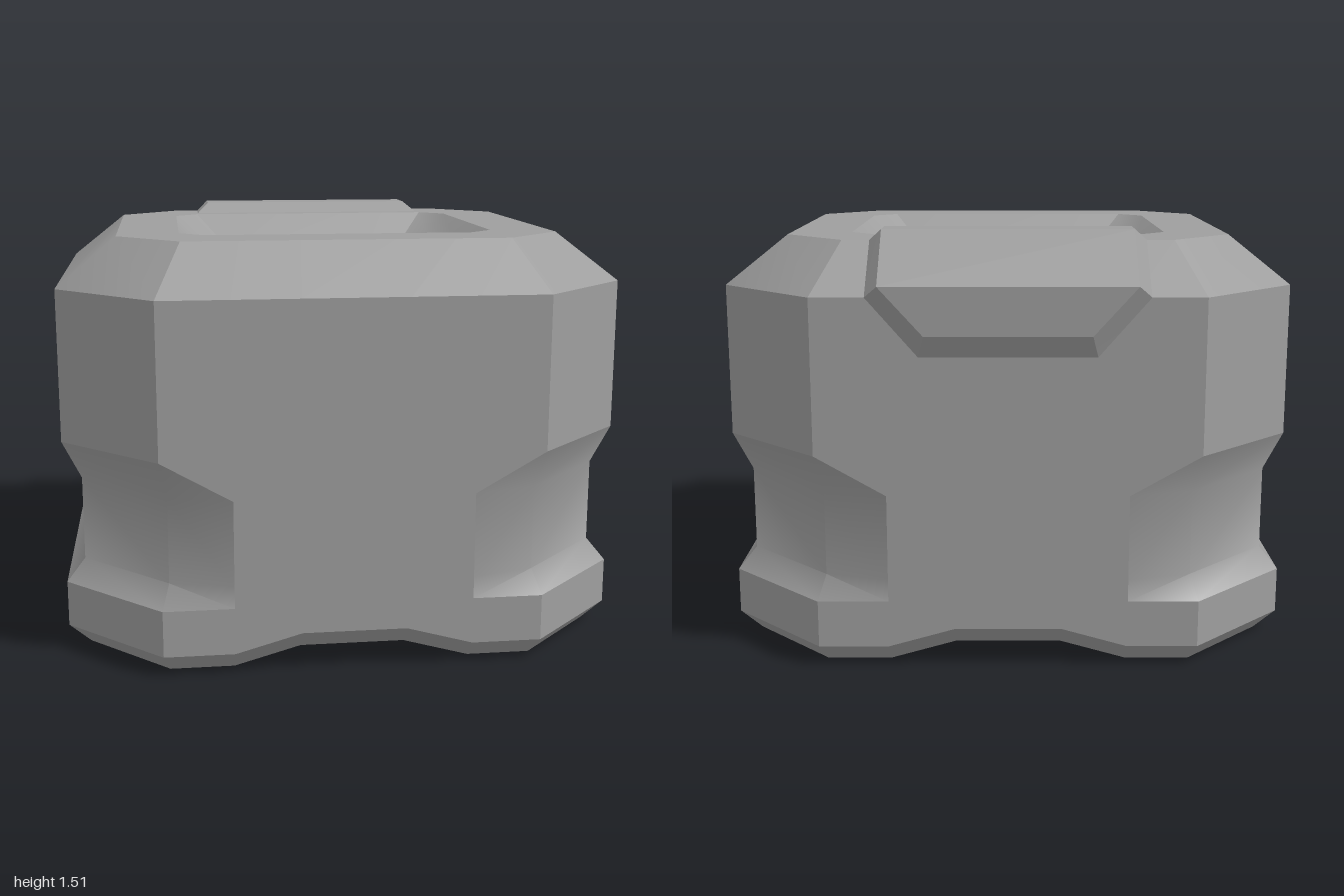
import * as THREE from 'three';
import { mergeGeometries, toCreasedNormals } from 'three/addons/utils/BufferGeometryUtils.js';

const CENTER_Z = 0.0175; // body is offset slightly from the rear clip

// Turns triangles into a geometry with sharp edges above the crease angle
function creased(tris, crease) {
  const geometry = new THREE.BufferGeometry();
  geometry.setAttribute('position', new THREE.Float32BufferAttribute(tris.flat(2), 3));
  return toCreasedNormals(geometry, crease);
}

function makeMesh(name, geometry) {
  const mesh = new THREE.Mesh(geometry, new THREE.MeshStandardMaterial({ color: 0x9e9e9e }));
  mesh.name = name;
  return mesh;
}

const quad = (a, b, c, d) => [[a, b, c], [a, c, d]];

// Chamfered rectangle with extra points along front and back.
// hx, hz: half sizes; cx, cz: where the corner chamfer starts;
// mz: half depth along the middle; arch: lift of the centre points
function ring({ y, hx, hz, cx, cz, mz = hz, arch = 0 }) {
  const x1 = Math.min(0.415, cx * 0.655);
  const quarter = [[hx, y, cz], [cx, y, hz], [x1, y, mz], [x1 * 0.44, y + arch, mz]];
  const mirror = (sx, sz) => quarter.map(([x, h, z]) => [sx * x, h, sz * z + CENTER_Z]);
  return [
    ...mirror(1, 1), ...mirror(-1, 1).reverse(),
    ...mirror(-1, -1), ...mirror(1, -1).reverse(),
  ];
}

function createBody() {
  const outer = { hx: 1, hz: 0.9275, cx: 0.66, cz: 0.592 };
  const groove = { hx: 0.935, hz: 0.868, cx: 0.635, cz: 0.566, mz: 0.9275 };
  const rings = [
    { y: 0, hx: 0.925, hz: 0.853, cx: 0.638, cz: 0.566, arch: 0.065 }, // arched underside
    { ...outer, y: 0.075, arch: 0.065 },        // bottom bevel
    { ...outer, y: 0.24 },
    { ...groove, y: 0.32 },                     // grip groove, fading out at front and back
    { ...groove, y: 0.62 },
    { ...outer, y: 0.76 },
    { ...outer, y: 1.3 },
    { y: 1.47, hx: 0.79, hz: 0.718, cx: 0.57, cz: 0.498 },  // top bevel
    { y: 1.47, hx: 0.57, hz: 0.495, cx: 0.48, cz: 0.405 },  // recess rim
    { y: 1.385, hx: 0.48, hz: 0.395, cx: 0.4, cz: 0.315 },  // recess floor
  ].map(ring);

  // Triangles are grouped so that shading is smooth only within each group
  const groups = { flat: [], grooveSide: [], grooveCorner: [], bevel: [] };
  const onFrontOrBack = (tri) => tri.every((p) => Math.abs(p[2] - CENTER_Z) > 0.92);

  function groupOf(r, segment, tri) {
    const side = segment === 7;
    const corner = segment === 0 || segment === 6;
    if (r >= 2 && r <= 4 && !onFrontOrBack(tri)) return side ? 'grooveSide' : 'grooveCorner';
    if ((r === 6 || r === 8) && (side || corner)) return 'bevel';
    return 'flat';
  }

  for (let r = 0; r < rings.length - 1; r++) {
    const a = rings[r], b = rings[r + 1];
    for (let i = 0; i < 16; i++) {
      const j = (i + 1) % 16;
      // Mirror the diagonals so left and right match
      const pair = i % 8 < 4 ? quad(b[i], b[j], a[j], a[i]) : quad(a[i], b[i], b[j], a[j]);
      // The diagonal must join the upper chamfer point to the lower middle point
      const tris = i % 8 < 4
        ? [[b[i], b[j], a[j]], [b[i], a[j], a[i]]]
        : pair;
      for (const tri of tris) groups[groupOf(r, i % 8, tri)].push(tri);
    }
  }
  // Underside and recess floor as strips from front to back
  const bottom = rings[0], floor = rings[rings.length - 1];
  for (let k = 0; k < 7; k++) {
    groups.flat.push(
      ...quad(bottom[k], bottom[k + 1], bottom[14 - k], bottom[15 - k]),
      ...quad(floor[15 - k], floor[14 - k], floor[k + 1], floor[k])
    );
  }
  return makeMesh('body', mergeGeometries([
    creased(groups.flat, 0.35),
    creased(groups.grooveSide, 0.8),
    creased(groups.grooveCorner, 0.8),
    creased(groups.bevel, 0.6),
  ]));
}

// Bevelled plate folded over the rear top edge
function createRearClip() {
  // base half width, base z, base y, outer half width, outer z, outer y
  const rows = [
    [0.475, -0.545, 1.47, 0.43, -0.605, 1.51],
    [0.475, -0.7, 1.47, 0.43, -0.74, 1.51],
    [0.475, -0.91, 1.3, 0.43, -0.945, 1.34],
    [0.3, -0.91, 1.1, 0.28, -0.945, 1.175],
  ].map(([w, z, y, ow, oz, oy]) => [[-w, y, z], [-ow, oy, oz], [ow, oy, oz], [w, y, z]]);

  const tris = [...quad(...[...rows[0]].reverse()), ...quad(...rows[3])];
  for (let r = 0; r < 3; r++) {
    const p = rows[r], s = rows[r + 1];
    for (let i = 0; i < 3; i++) tris.push(...quad(p[i], p[i + 1], s[i + 1], s[i]));
  }
  return makeMesh('rearClip', creased(tris, 0.3));
}

export function createModel() {
  const model = new THREE.Group();
  model.name = 'chamferedContainer';
  model.add(createBody(), createRearClip());
  return model;
}
